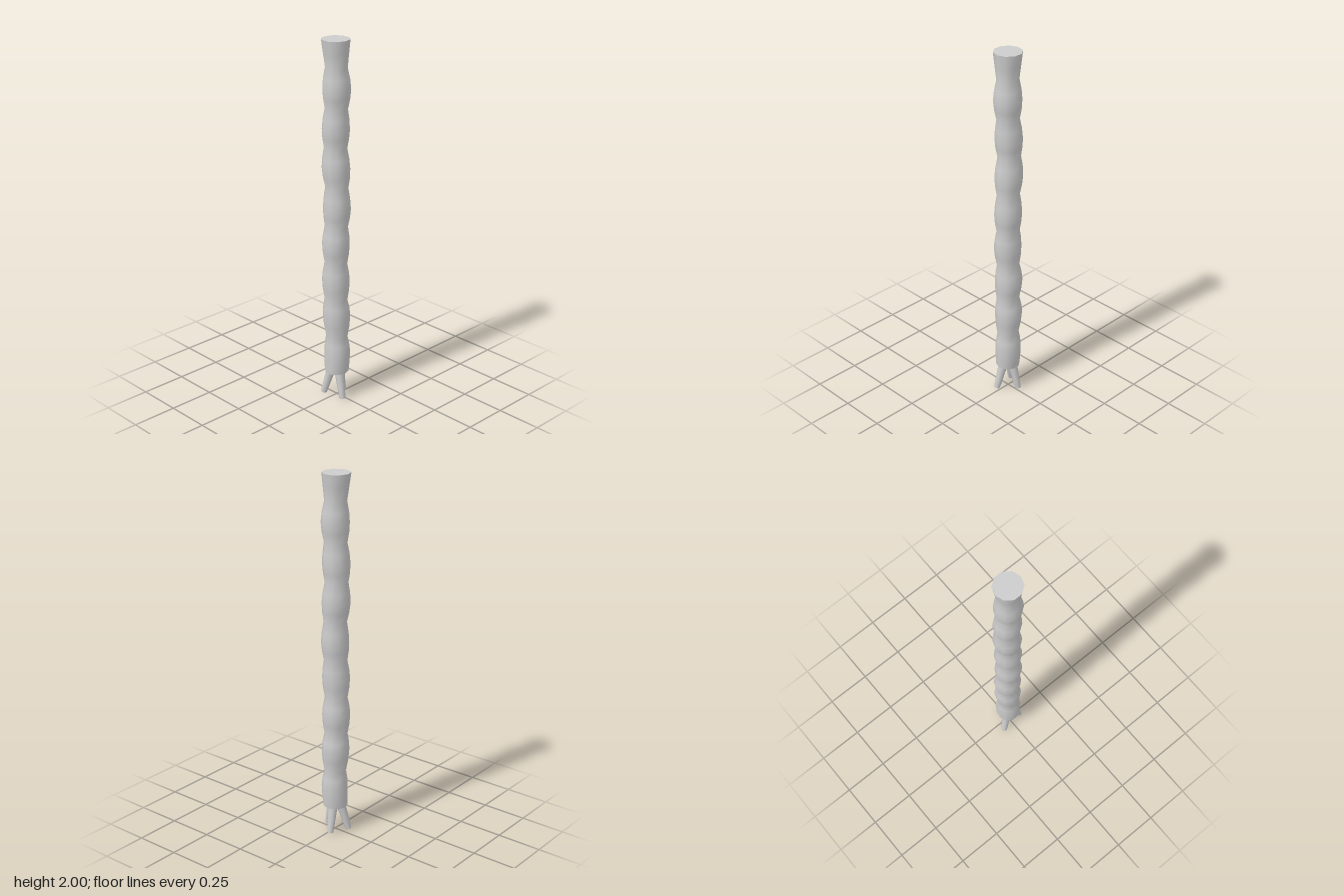
import * as THREE from 'three';

const SIDES = 10;

// Trunk nodes from bottom to top: height, radius, centre x, centre z.
// After the bottom ring they alternate bulge, neck, ... , and end in the flared top.
const NODES = [
  [0.15, 0.066, 0, 0.002],
  [0.27, 0.071, 0.002, -0.001], [0.36, 0.059, 0, 0.001],
  [0.49, 0.075, -0.003, 0], [0.58, 0.062, -0.003, 0.004],
  [0.69, 0.075, -0.006, 0.002], [0.79, 0.061, -0.004, 0.004],
  [0.90, 0.074, -0.002, 0.006], [1.00, 0.062, -0.002, 0.002],
  [1.10, 0.074, 0, 0], [1.215, 0.061, -0.001, 0],
  [1.32, 0.075, -0.006, 0.001], [1.43, 0.061, -0.009, 0.001],
  [1.53, 0.073, -0.006, 0.002], [1.64, 0.060, -0.002, 0.002],
  [1.745, 0.074, 0.001, 0.002], [1.855, 0.058, -0.001, 0.003],
  [2.00, 0.075, -0.004, 0.005],
];

// Insert a ring between each pair of nodes so that bulges are round and necks are tight
function trunkRings() {
  const rings = [NODES[0]];
  for (let i = 1; i < NODES.length; i++) {
    const a = NODES[i - 1], b = NODES[i];
    const mid = a.map((v, k) => (v + b[k]) / 2);
    if (i < NODES.length - 1) mid[1] += 0.2 * Math.abs(a[1] - b[1]);
    rings.push(mid, b);
  }
  return rings;
}

function trunkGeometry(rings) {
  const rows = rings.length - 1;
  const geo = new THREE.CylinderGeometry(1, 1, 1, SIDES, rows, true);
  const pos = geo.attributes.position;
  for (let i = 0; i < pos.count; i++) {
    const row = Math.floor(i / (SIDES + 1));
    const angle = ((i % (SIDES + 1)) / SIDES) * Math.PI * 2;
    const [y, r, cx, cz] = rings[rows - row];
    pos.setXYZ(i, cx + r * Math.cos(angle), y, cz - r * Math.sin(angle));
  }
  geo.computeVertexNormals();
  // Close the shading seam by averaging the first and last columns
  const n = geo.attributes.normal;
  for (let row = 0; row <= rows; row++) {
    const a = row * (SIDES + 1), b = a + SIDES;
    const v = new THREE.Vector3().fromBufferAttribute(n, a)
      .add(new THREE.Vector3().fromBufferAttribute(n, b)).normalize();
    n.setXYZ(a, v.x, v.y, v.z);
    n.setXYZ(b, v.x, v.y, v.z);
  }
  return geo;
}

export function createModel() {
  const model = new THREE.Group();
  model.name = 'stalk';
  const grey = new THREE.MeshStandardMaterial({ color: 0xcccccc });
  grey.name = 'pale grey';

  const add = (geo, name) => {
    const mesh = new THREE.Mesh(geo, grey);
    mesh.name = name;
    model.add(mesh);
    return mesh;
  };

  // Knobbly trunk
  add(trunkGeometry(trunkRings()), 'trunk');

  // Flat ends of the trunk
  const addCap = ([y, r, cx, cz], up, name) => {
    const cap = add(new THREE.CircleGeometry(r, SIDES), name);
    cap.rotation.x = up ? -Math.PI / 2 : Math.PI / 2;
    cap.position.set(cx, y, cz);
  };
  addCap(NODES[NODES.length - 1], true, 'trunkTop');
  addCap(NODES[0], false, 'trunkBottom');

  // Three splayed, tapering roots
  const tips = [[0.066, 0.022], [-0.062, 0.04], [-0.016, -0.062]];
  const up = new THREE.Vector3(0, 1, 0);
  tips.forEach(([x, z], i) => {
    const tip = new THREE.Vector3(x, 0.006, z);
    const base = new THREE.Vector3(x * 0.36, 0.17, z * 0.36);
    const axis = base.clone().sub(tip);
    const root = add(new THREE.CylinderGeometry(0.027, 0.017, axis.length(), 8), `root${i + 1}`);
    root.position.copy(tip).add(base).multiplyScalar(0.5);
    root.quaternion.setFromUnitVectors(up, axis.normalize());
  });

  return model;
}
